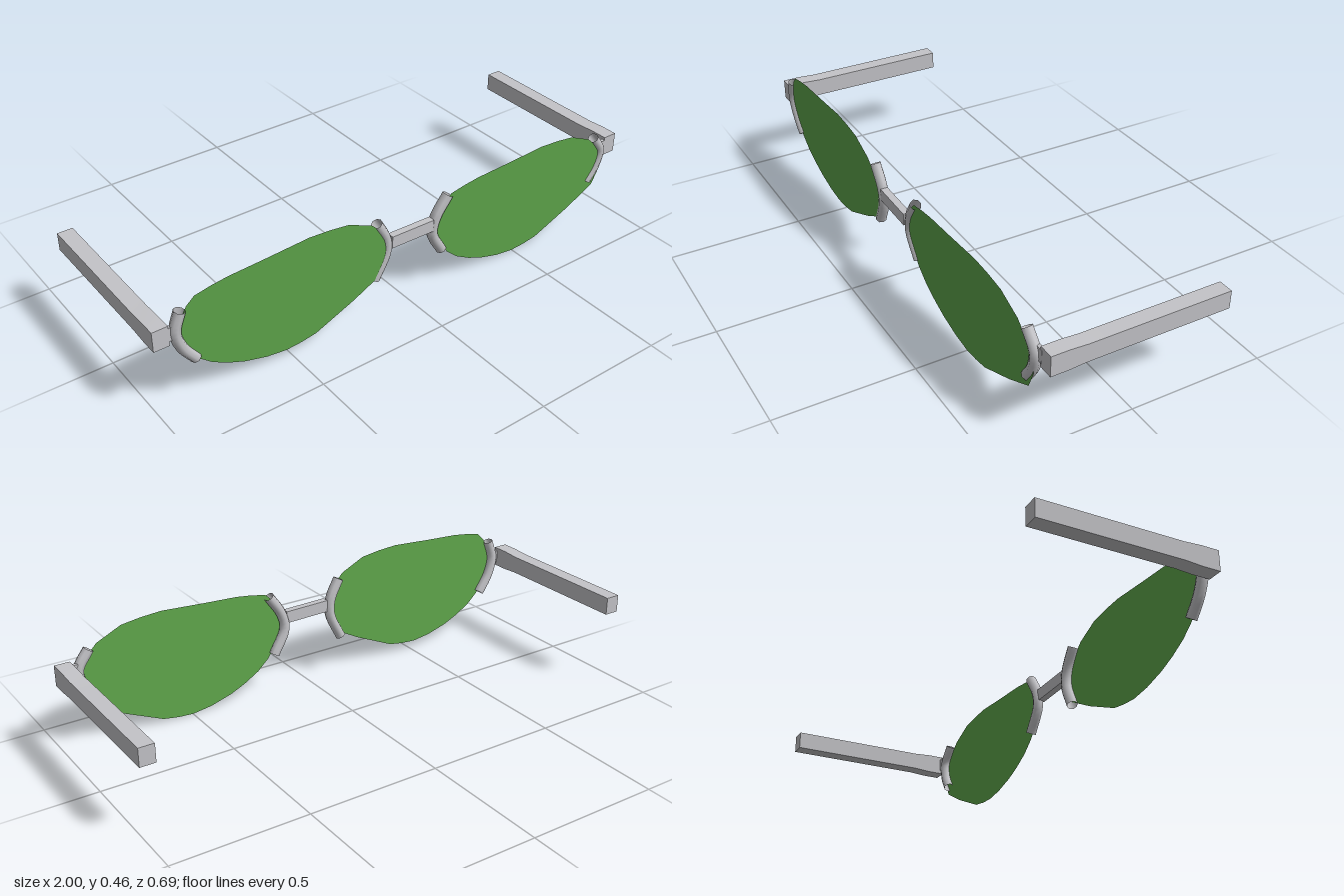
import * as THREE from 'three';

const metal = new THREE.MeshStandardMaterial({ color: 0xc4c4c8, side: THREE.DoubleSide });
metal.name = 'silver metal';
const glass = new THREE.MeshStandardMaterial({ color: 0x5fa64b, side: THREE.DoubleSide });
glass.name = 'green glass';

// Lens outline; the second lens is the same shape, shifted
const outline = [
  [-0.85, 0.423], [-0.79, 0.435], [-0.73, 0.443], [-0.6, 0.45], [-0.43, 0.461], [-0.35, 0.456],
  [-0.275, 0.446], [-0.18, 0.403], [-0.13, 0.355], [-0.1, 0.3], [-0.095, 0.25], [-0.125, 0.18],
  [-0.243, 0.117], [-0.4, 0.047], [-0.46, 0.037], [-0.52, 0.033], [-0.595, 0.043], [-0.68, 0.067],
  [-0.74, 0.093], [-0.8, 0.127], [-0.847, 0.168], [-0.885, 0.22], [-0.908, 0.28], [-0.9, 0.355], [-0.88, 0.395],
];

function lens(name, dx, dy, z) {
  const shape = new THREE.Shape(outline.map(([x, y]) => new THREE.Vector2(x + dx, y + dy)));
  const geo = new THREE.ShapeGeometry(shape);
  const p = geo.attributes.position;
  for (let i = 0; i < p.count; i++) p.setZ(i, z + 0.045 * p.getY(i)); // lean forward at the top
  geo.computeVertexNormals();
  const mesh = new THREE.Mesh(geo, glass);
  mesh.name = name;
  return mesh;
}

// Curved clip gripping the edge of a lens
function clip(name, points, z) {
  const curve = new THREE.CatmullRomCurve3(points.map(([x, y]) => new THREE.Vector3(x, y, z + 0.05 * y)));
  const mesh = new THREE.Mesh(new THREE.TubeGeometry(curve, 14, 0.02, 8, false), metal);
  mesh.name = name;
  return mesh;
}

// Straight temple bar, a little taller around the hinge
function temple(name, x, y, zFront, zBack) {
  const length = zFront - zBack;
  const geo = new THREE.BoxGeometry(0.056, 0.067, length, 1, 1, 10);
  const p = geo.attributes.position;
  for (let i = 0; i < p.count; i++) {
    if (p.getZ(i) > length * 0.38) p.setY(i, p.getY(i) * 1.13);
  }
  geo.computeVertexNormals();
  const mesh = new THREE.Mesh(geo, metal);
  mesh.name = name;
  mesh.position.set(x, y, (zFront + zBack) / 2);
  return mesh;
}

export function createModel() {
  const model = new THREE.Group();
  model.name = 'eyeglasses';

  model.add(lens('rightLens', 0, 0, 0.3155), lens('leftLens', 1.018, -0.03, 0.309));

  model.add(
    clip('rightOuterClip', [[-0.9, 0.385], [-0.92, 0.31], [-0.9, 0.24], [-0.854, 0.172]], 0.308),
    clip('rightNoseClip', [[-0.15, 0.39], [-0.11, 0.315], [-0.106, 0.254], [-0.15, 0.155]], 0.299),
    clip('leftNoseClip', [[0.16, 0.387], [0.111, 0.31], [0.1, 0.248], [0.15, 0.155]], 0.297),
    clip('leftOuterClip', [[0.873, 0.363], [0.917, 0.296], [0.905, 0.23], [0.868, 0.172]], 0.297)
  );

  // Nose bridge
  const bridge = new THREE.Mesh(new THREE.BoxGeometry(0.18, 0.046, 0.027), metal);
  bridge.name = 'bridge';
  bridge.position.set(0, 0.293, 0.317);
  bridge.rotation.z = -0.02;
  model.add(bridge);

  // Short hinge lugs between outer clips and temples
  for (const [name, x, y, z] of [['rightHinge', -0.938, 0.312, 0.322], ['leftHinge', 0.936, 0.3, 0.305]]) {
    const lug = new THREE.Mesh(new THREE.BoxGeometry(0.03, 0.05, 0.014), metal);
    lug.name = name;
    lug.position.set(x, y, z);
    model.add(lug);
  }

  model.add(temple('rightTemple', -0.972, 0.31, 0.33, -0.325), temple('leftTemple', 0.972, 0.299, 0.311, -0.347));
  return model;
}
